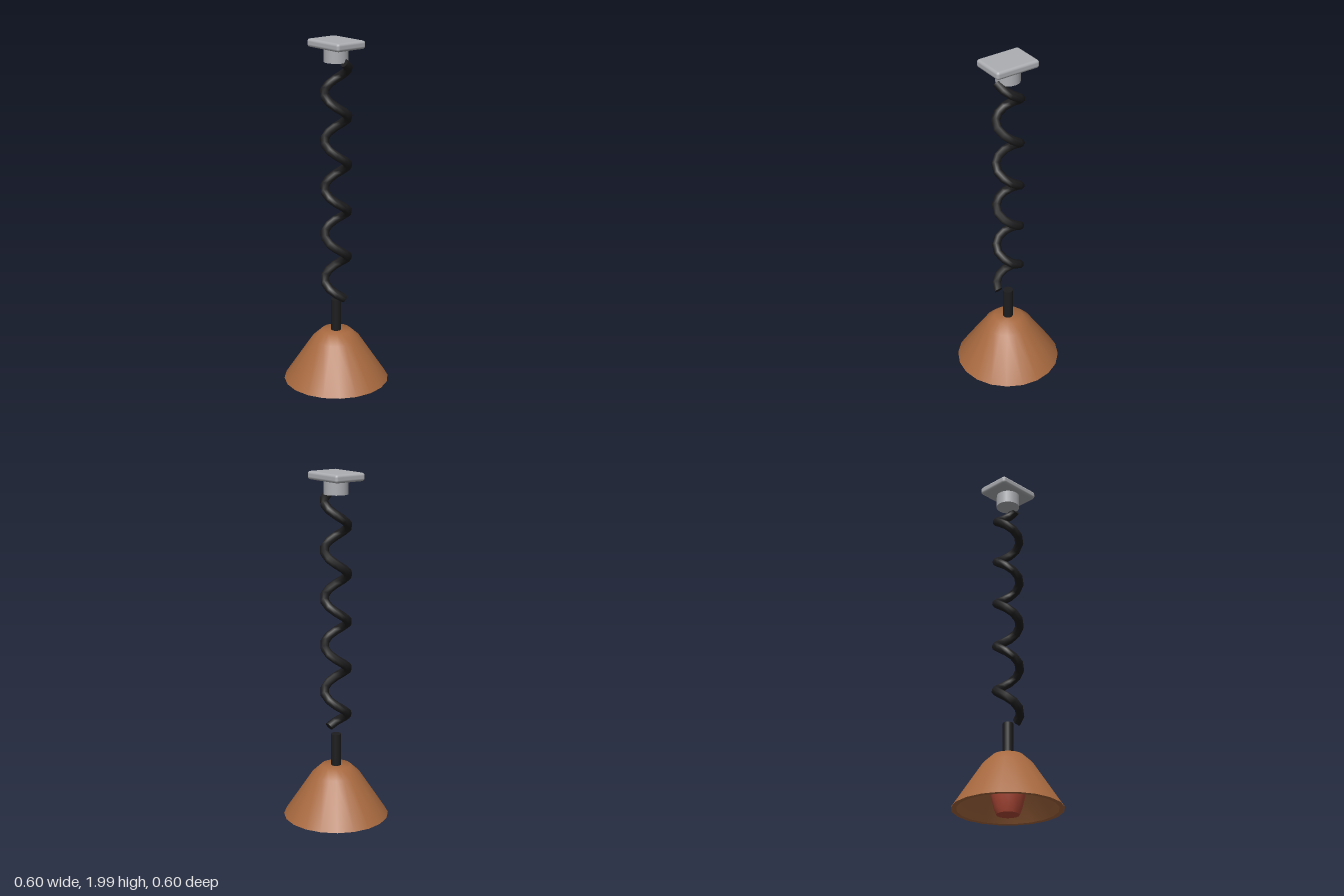
import * as THREE from 'three';
import { toCreasedNormals } from 'three/addons/utils/BufferGeometryUtils.js';
import { RoundedBoxGeometry } from 'three/addons/geometries/RoundedBoxGeometry.js';

// Coiled cord centreline: five turns rising from the rod to the ceiling mount
class Coil extends THREE.Curve {
  constructor(radius, bottom, top, turns) {
    super();
    Object.assign(this, { radius, bottom, top, turns });
  }
  getPoint(t, target = new THREE.Vector3()) {
    const a = t * this.turns * Math.PI * 2;
    return target.set(
      this.radius * Math.cos(a),
      this.bottom + (this.top - this.bottom) * t,
      this.radius * Math.sin(a)
    );
  }
}

function material(name, color) {
  const m = new THREE.MeshStandardMaterial({ color });
  m.name = name;
  return m;
}

// Revolved profile with sharp edges kept above the crease angle
function lathe(points, sides, crease) {
  const profile = points.map(([r, y]) => new THREE.Vector2(r, y));
  return toCreasedNormals(new THREE.LatheGeometry(profile, sides), crease);
}

export function createModel() {
  const model = new THREE.Group();
  model.name = 'pendantLamp';

  const copper = material('copper', 0xa7693f);
  const black = material('black', 0x1d1d1f);
  const grey = material('grey', 0xacaeb2);
  const red = material('red', 0xb04a38);

  function add(name, geometry, mat, y = 0) {
    const mesh = new THREE.Mesh(geometry, mat);
    mesh.name = name;
    mesh.position.y = y;
    model.add(mesh);
    return mesh;
  }

  // Ceiling mount
  add('ceilingPlate', new RoundedBoxGeometry(0.264, 0.046, 0.198, 2, 0.016), grey, 1.977);
  add('mountCollar', new THREE.CylinderGeometry(0.067, 0.067, 0.085, 20), grey, 1.922);

  // Coiled cord with closed ends
  const coil = new Coil(0.066, 0.545, 1.882, 5);
  const cordRadius = 0.025;
  add('coiledCord', new THREE.TubeGeometry(coil, 50, cordRadius, 8), black);
  for (const [t, sign] of [[0, -1], [1, 1]]) {
    const cap = add('cordEnd', new THREE.CircleGeometry(cordRadius, 8), black);
    cap.position.copy(coil.getPoint(t));
    cap.quaternion.setFromUnitVectors(
      new THREE.Vector3(0, 0, 1),
      coil.getTangent(t).multiplyScalar(sign)
    );
  }

  // Straight rod into the shade
  add('rod', new THREE.CylinderGeometry(0.029, 0.029, 0.24, 16), black, 0.4);

  // Shade: inner wall, rim, outer wall and top as one closed profile
  add('shade', lathe([
    [0, 0.31], [0.07, 0.31], [0.122, 0.265], [0.272, 0.04],
    [0.3, 0.04], [0.138, 0.285], [0.084, 0.335], [0, 0.335],
  ], 20, 0.9), copper);

  // Lamp body inside the shade
  add('bulb', lathe([
    [0, 0.01], [0.062, 0.01], [0.074, 0.04], [0.092, 0.11],
    [0.1, 0.17], [0.1, 0.24], [0.05, 0.31], [0, 0.31],
  ], 16, 0.8), red);

  return model;
}
